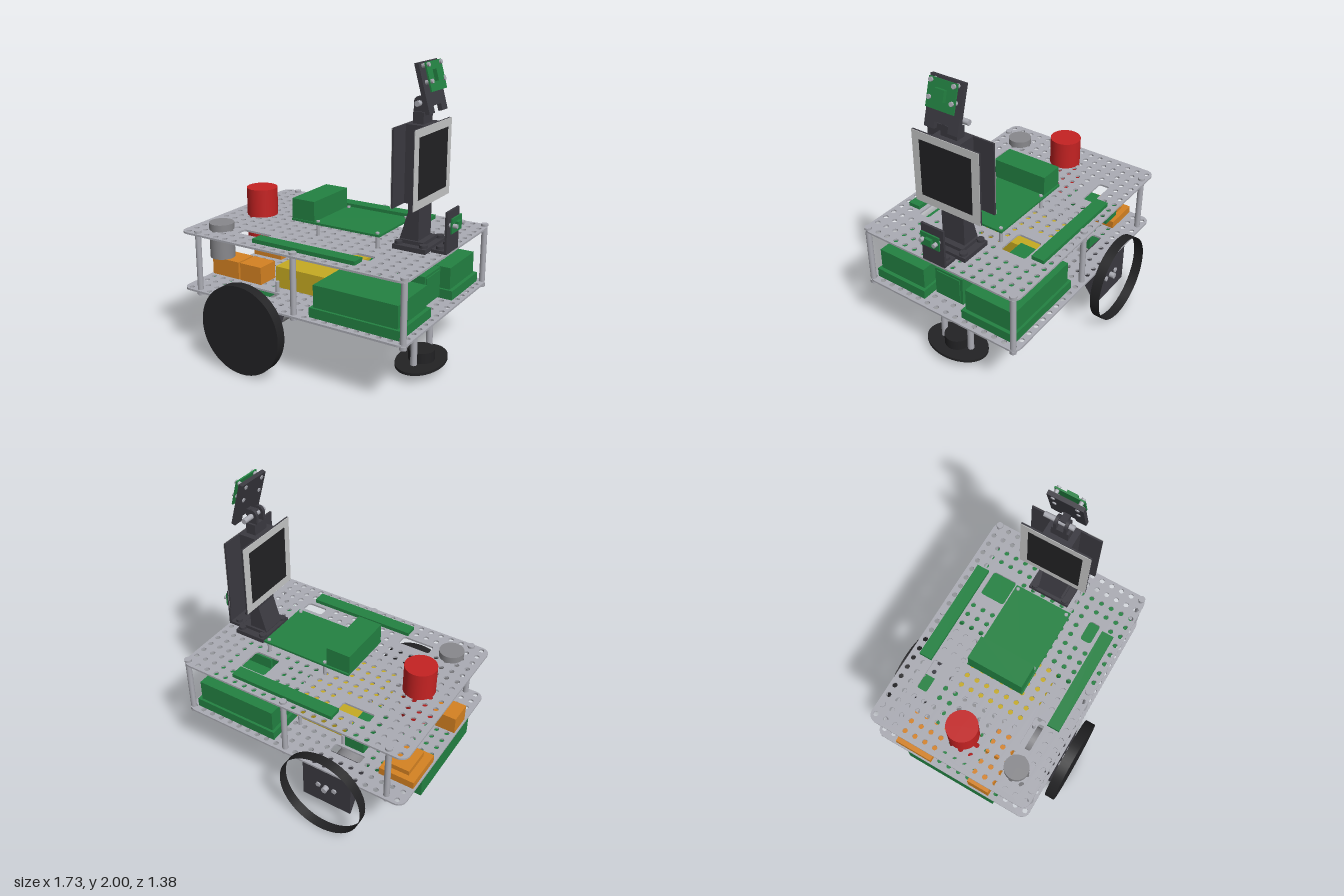
import * as THREE from 'three';

const mat = (name, color, side = THREE.FrontSide) => {
  const m = new THREE.MeshStandardMaterial({ color, side });
  m.name = name;
  return m;
};

export function createModel() {
  const root = new THREE.Group();
  root.name = 'twoDeckRobot';
  const alu = mat('aluminium', 0xabacb4), green = mat('boardGreen', 0x238242), red = mat('red', 0xc42222);
  const orange = mat('orange', 0xd58222), yellow = mat('yellow', 0xc6ab22), black = mat('black', 0x222224);
  const dark = mat('darkBracket', 0x3b3a41), grey = mat('motorGrey', 0x88888c), pale = mat('screenFrame', 0xc6c7c7);
  const tyre = mat('openTyre', 0x222224, THREE.DoubleSide);

  const add = (name, geo, m, x = 0, y = 0, z = 0, parent = root) => {
    const mesh = new THREE.Mesh(geo, m);
    mesh.name = name;
    mesh.position.set(x, y, z);
    parent.add(mesh);
    return mesh;
  };
  // box given by its limits
  const box = (name, m, x0, x1, y0, y1, z0, z1, parent = root) =>
    add(name, new THREE.BoxGeometry(x1 - x0, y1 - y0, z1 - z0), m, (x0 + x1) / 2, (y0 + y1) / 2, (z0 + z1) / 2, parent);
  // upright cylinder from y0 to y1
  const post = (name, m, r, x, z, y0, y1, seg = 12) =>
    add(name, new THREE.CylinderGeometry(r, r, y1 - y0, seg), m, x, (y0 + y1) / 2, z);
  // cylinder lying along z from z0 to z1
  const rodZ = (name, m, r, x, y, z0, z1, seg = 16, parent = root) => {
    const c = add(name, new THREE.CylinderGeometry(r, r, Math.abs(z1 - z0), seg), m, x, y, (z0 + z1) / 2, parent);
    c.rotation.x = Math.PI / 2;
    return c;
  };
  const rodX = (name, m, r, x0, x1, y, z, parent = root) => {
    const c = add(name, new THREE.CylinderGeometry(r, r, x1 - x0, 10), m, (x0 + x1) / 2, y, z, parent);
    c.rotation.z = Math.PI / 2;
    return c;
  };

  const roundRect = (S, x0, x1, z0, z1, r) => {
    const s = new S();
    s.moveTo(x0 + r, z0);
    s.lineTo(x1 - r, z0);
    s.absarc(x1 - r, z0 + r, r, -Math.PI / 2, 0, false);
    s.absarc(x1 - r, z1 - r, r, 0, Math.PI / 2, false);
    s.absarc(x0 + r, z1 - r, r, Math.PI / 2, Math.PI, false);
    s.absarc(x0 + r, z0 + r, r, Math.PI, Math.PI * 1.5, false);
    return s;
  };

  // perforated decks
  const PITCH = 0.0756, gx = i => -0.814 + PITCH * i, gz = j => -0.567 + PITCH * j;
  const deck = (name, y, slots) => {
    const shape = roundRect(THREE.Shape, -0.867, 0.81, -0.603, 0.6, 0.06);
    for (const [x0, x1, z0, z1, r] of slots) shape.holes.push(roundRect(THREE.Path, x0, x1, z0, z1, r));
    for (let i = 0; i < 22; i++) for (let j = 0; j < 16; j++) {
      const x = gx(i), z = gz(j), e = 0.026;
      if (slots.some(s => x > s[0] - e && x < s[1] + e && z > s[2] - e && z < s[3] + e)) continue;
      const h = new THREE.Path();
      h.absarc(x, z, 0.018, 0, Math.PI * 2, true);
      shape.holes.push(h);
    }
    const g = new THREE.ExtrudeGeometry(shape, { depth: 0.013, bevelEnabled: false, curveSegments: 5 });
    g.rotateX(Math.PI / 2);
    add(name, g, alu, 0, y, 0);
  };
  const slots = [[-0.525, -0.3, -0.435, -0.36, 0.015], [-0.525, -0.3, 0.35, 0.43, 0.015]];
  deck('lowerDeck', 0.457, slots.map(s => [s[0] + 0.06, s[1] + 0.06, s[2], s[3], s[4]]));
  deck('upperDeck', 0.852, [...slots, [0.27, 0.46, -0.42, -0.24, 0.02], [0.32, 0.47, 0.335, 0.415, 0.02]]);

  // deck standoffs with bolt heads
  for (const x of [-0.738, 0.018, 0.785]) for (const z of [-0.567, 0.567]) {
    post('deckStandoff', alu, 0.02, x, z, 0.457, 0.84);
    post('boltHead', alu, 0.024, x, z, 0.852, 0.868);
    post('boltNut', alu, 0.024, x, z, 0.42, 0.444, 6);
  }

  // wheels, motors and motor brackets
  const WX = -0.32, WY = 0.305;
  rodZ('wheel', black, 0.3025, WX, WY, 0.62, 0.69, 64);
  const ring = add('wheelRim', new THREE.CylinderGeometry(0.3025, 0.3025, 0.07, 64, 1, true), tyre, WX, WY, -0.655);
  ring.rotation.x = Math.PI / 2;
  for (const s of [-1, 1]) {
    rodZ('motor', grey, 0.095, WX, WY, s * 0.09, s * 0.585, 32);
    rodZ('wheelShaft', alu, 0.02, WX, WY, s * 0.585, s * 0.635);
    for (const dx of [-0.06, 0.06]) rodZ('motorScrew', alu, 0.018, WX + dx, WY, s * 0.59, s * 0.61, 8);
    const za = s * 0.585, zb = s * 0.6;
    box('bracketPlate', dark, WX - 0.18, WX + 0.18, 0.16, 0.444, Math.min(za, zb), Math.max(za, zb));
    box('bracketFlange', dark, WX - 0.18, WX + 0.18, 0.43, 0.444, Math.min(s * 0.42, zb), Math.max(s * 0.42, zb));
    const tri = new THREE.Shape([[0.6, 0.16], [0.6, 0.444], [0.42, 0.444], [0.42, 0.41], [0.59, 0.16]]
      .map(([z, y]) => new THREE.Vector2(-s * z, y)));
    for (const dx of [-0.18, 0.168]) {
      const g = new THREE.ExtrudeGeometry(tri, { depth: 0.012, bevelEnabled: false });
      g.rotateY(Math.PI / 2);
      add('bracketGusset', g, dark, WX + dx, 0, 0);
    }
  }

  // ball caster on two legs
  const CX = 0.625;
  for (const z of [-0.11, 0.11]) {
    post('casterLeg', alu, 0.022, CX, z, 0.07, 0.444);
    post('casterNut', alu, 0.026, CX, z, 0.04, 0.06, 6);
    post('casterBolt', alu, 0.026, CX, z, 0.457, 0.475, 6);
  }
  add('casterFlange', new THREE.CylinderGeometry(0.155, 0.155, 0.018, 40), black, CX, 0.069, 0).scale.z = 1.47;
  post('casterCup', black, 0.087, CX, 0, 0.045, 0.15, 32);
  add('casterBall', new THREE.SphereGeometry(0.052, 24, 16), black, CX, 0.052, 0);

  // lower deck load
  box('rearPack', green, -0.867, -0.47, 0.31, 0.444, -0.34, 0.34);
  for (const [z0, z1] of [[0.15, 0.55], [-0.55, -0.15]]) {
    box('batteryTray', green, 0.12, 0.755, 0.457, 0.52, z0, z1);
    box('battery', green, 0.14, 0.73, 0.52, 0.668, z0 + 0.017, z1 - 0.017);
  }
  box('centreBoard', green, 0.45, 0.685, 0.49, 0.69, -0.11, 0.108);
  box('centreBoardFace', green, 0.685, 0.692, 0.505, 0.675, -0.09, 0.09);
  box('centreModule', green, 0.255, 0.45, 0.49, 0.7, -0.09, 0.09);
  box('yellowPack', yellow, -0.32, 0.115, 0.47, 0.615, -0.29, 0.29);
  for (const x of [-0.28, 0.06]) for (const z of [-0.33, 0.33]) post('packPost', alu, 0.013, x, z, 0.42, 0.53);
  box('orangeModule', orange, -0.855, -0.63, 0.457, 0.58, 0.14, 0.3);
  box('orangeModule', orange, -0.615, -0.44, 0.457, 0.58, 0.14, 0.3);
  box('orangeBase', orange, -0.855, -0.61, 0.457, 0.51, -0.44, -0.16);
  box('orangeCover', orange, -0.8, -0.66, 0.51, 0.545, -0.4, -0.2);
  box('hangingModule', green, -0.53, -0.395, 0.645, 0.755, -0.5, -0.18);
  for (const z of [-0.46, -0.22]) post('hangerPost', alu, 0.01, -0.41, z, 0.755, 0.84);

  // cylinders through the upper deck
  post('redBeacon', red, 0.106, -0.64, 0, 0.645, 1.045, 40);
  post('greyCanister', grey, 0.083, -0.665, 0.413, 0.66, 0.897, 32);

  // upper deck boards
  box('sideStrip', green, -0.32, 0.435, 0.852, 0.878, -0.54, -0.45);
  box('sideStrip', green, -0.32, 0.435, 0.852, 0.878, 0.443, 0.53);
  box('mainBoard', green, -0.24, 0.415, 0.927, 0.941, -0.212, 0.207);
  box('boardModule', green, -0.24, -0.07, 0.941, 1.075, -0.2, 0.2);
  for (const x of [-0.05, 0.39]) for (const z of [-0.19, 0.185]) post('boardStandoff', alu, 0.012, x, z, 0.82, 0.951);

  // mast foot and column
  box('mastFoot', dark, 0.475, 0.7, 0.852, 0.882, -0.15, 0.15);
  box('mastServo', dark, 0.5, 0.66, 0.882, 0.905, -0.1, 0.1);
  for (const x of [0.5, 0.67]) for (const z of [-0.115, 0.115]) {
    post('footBolt', dark, 0.025, x, z, 0.882, 0.9);
    post('footNut', alu, 0.02, x, z, 0.815, 0.839, 6);
  }
  const col = new THREE.Shape([[0.49, 0.9], [0.62, 0.9], [0.62, 1.14], [0.545, 1.14], [0.545, 1.08]]
    .map(p => new THREE.Vector2(...p)));
  add('mastColumn', new THREE.ExtrudeGeometry(col, { depth: 0.17, bevelEnabled: false }), dark, 0, 0, -0.085);
  box('screenCore', dark, 0.524, 0.646, 1.14, 1.628, -0.1, 0.1);

  // twin displays facing forwards and backwards
  for (const [s, xi, xo] of [[1, 0.646, 0.658], [-1, 0.524, 0.512]]) {
    box('displayBack', dark, Math.min(xi, xo), Math.max(xi, xo), 1.14, 1.628, -0.245, 0.245);
    const slab = (name, m, x, hw, y0, y1) =>
      box(name, m, x - 0.002, x + 0.002, y0, y1, -hw, hw);
    slab('displayFrame', pale, xo + s * 0.002, 0.245, 1.14, 1.628);
    slab('displayScreen', black, xo + s * 0.005, 0.19, 1.197, 1.577);
  }

  // neck with tilt joint
  box('neck', dark, 0.55, 0.62, 1.628, 1.7, -0.06, 0.06);
  for (const z of [-0.045, 0.025]) {
    box('neckFork', dark, 0.545, 0.62, 1.7, 1.755, z, z + 0.02);
    rodZ('neckForkEnd', dark, 0.0375, 0.5825, 1.755, z, z + 0.02, 20);
  }
  rodZ('tiltBolt', alu, 0.018, 0.583, 1.75, -0.125, 0.08, 10);
  box('tiltLug', dark, 0.575, 0.645, 1.73, 1.775, -0.022, 0.022);

  // tilted sensor head
  const head = new THREE.Group();
  head.name = 'sensorHead';
  head.position.set(0.633, 1.847, 0);
  head.rotation.z = 0.276;
  root.add(head);
  const plate = new THREE.Shape([[-0.12, -0.153], [-0.05, -0.153], [-0.05, -0.11], [0.05, -0.11], [0.05, -0.153],
    [0.12, -0.153], [0.12, 0.153], [-0.12, 0.153]].map(p => new THREE.Vector2(...p)));
  const pg = new THREE.ExtrudeGeometry(plate, { depth: 0.028, bevelEnabled: false });
  pg.rotateY(Math.PI / 2);
  add('headPlate', pg, dark, -0.014, 0, 0, head);
  box('headBoard', green, 0.04, 0.05, -0.03, 0.145, -0.1, 0.1, head);
  box('headChip', green, 0.05, 0.075, 0.025, 0.095, -0.035, 0.035, head);
  for (const y of [0.03, 0.128]) for (const z of [-0.08, 0.08]) rodX('headScrew', alu, 0.014, -0.02, 0.062, y, z, head);

  // front sensor on its angle bracket
  box('sensorBracketFoot', dark, 0.71, 0.81, 0.852, 0.872, -0.085, 0.085);
  box('sensorBracket', dark, 0.795, 0.81, 0.852, 1.12, -0.085, 0.085);
  box('sensorBoard', green, 0.825, 0.835, 0.985, 1.08, -0.07, 0.07);
  box('sensorChip', green, 0.835, 0.855, 1.01, 1.055, -0.025, 0.025);
  for (const z of [-0.05, 0.05]) {
    rodX('sensorScrew', alu, 0.014, 0.81, 0.862, 1.033, z);
    post('sensorBracketBolt', dark, 0.022, 0.75, z, 0.872, 0.89);
    post('sensorBracketNut', alu, 0.018, 0.77, z, 0.815, 0.839, 6);
  }
  return root;
}
